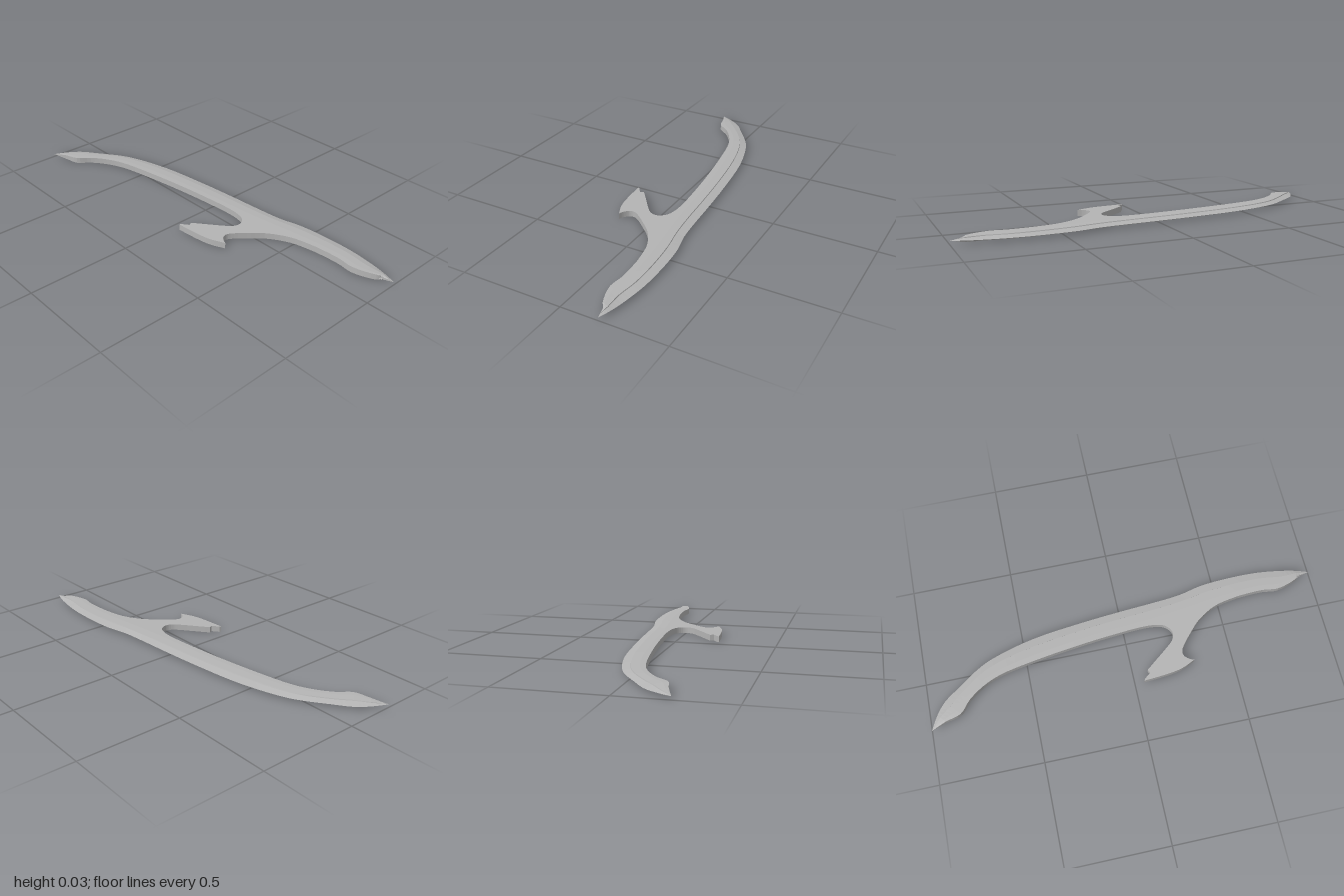
import * as THREE from 'three';

const MID = 0.015; // half of the plate thickness
const STEPS = 4;   // samples between two stations

// Stations from back tip to front tip: outer x, z, inner x, z, thickness factor
const stations = [
  [-0.24, -1, -0.235, -0.99, 0.1], [-0.17, -0.965, -0.21, -0.925, 0.75],
  [-0.11, -0.92, -0.188, -0.85, 1], [-0.05, -0.84, -0.13, -0.8, 1],
  [0.03, -0.725, -0.075, -0.725, 1], [0.068, -0.64, -0.035, -0.635, 1],
  [0.12, -0.45, 0.003, -0.45, 1], [0.155, -0.185, 0.04, -0.185, 1],
  [0.174, 0.03, 0.06, 0.03, 1], [0.183, 0.16, 0.07, 0.16, 1],
  [0.198, 0.32, 0.09, 0.32, 1], [0.225, 0.44, 0.105, 0.45, 1],
  [0.237, 0.61, 0.124, 0.61, 1], [0.235, 0.74, 0.13, 0.74, 1],
  [0.22, 0.86, 0.122, 0.82, 1], [0.203, 0.94, 0.156, 0.925, 0.9],
  [0.183, 1, 0.17, 0.94, 0.3],
];

// Half section from inner wall to cutting edge: fraction across, half height
const half = [[0, 0.015], [0.25, 0.015], [0.63, 0.0125], [0.645, 0.0085], [1, 0]];
const section = [...half, ...half.slice(0, -1).reverse().map(([f, h]) => [f, -h])];

function sample(points, n) {
  return new THREE.CatmullRomCurve3(points).getPoints(n);
}

function createBlade(outer, inner, thick) {
  const rings = outer.map((o, i) => section.map(([f, h]) => {
    const p = inner[i].clone().lerp(o, f);
    p.y = MID + h * thick[i].y;
    return p;
  }));
  const pos = [];
  const tri = (...corners) => corners.forEach((p) => pos.push(p.x, p.y, p.z));
  const count = section.length;
  for (let i = 0; i < rings.length - 1; i++) {
    for (let j = 0; j < count; j++) {
      const k = (j + 1) % count;
      tri(rings[i][j], rings[i + 1][j], rings[i][k]);
      tri(rings[i][k], rings[i + 1][j], rings[i + 1][k]);
    }
  }
  // End caps
  const first = rings[0], last = rings[rings.length - 1];
  for (let j = 0; j < count; j++) {
    const k = (j + 1) % count;
    const centre = (r) => r[0].clone().lerp(r[4], 0.4).setY(MID);
    tri(centre(first), first[j], first[k]);
    tri(centre(last), last[k], last[j]);
  }
  const geometry = new THREE.BufferGeometry();
  geometry.setAttribute('position', new THREE.Float32BufferAttribute(pos, 3));
  geometry.computeVertexNormals();
  return geometry;
}

function createArm(root) {
  const curve = (pts) => new THREE.SplineCurve(pts.map(([x, z]) => new THREE.Vector2(x, z))).getPoints(pts.length * 4);
  // Front curve, barbed tip, then the rear curve back to the blade
  const front = curve([[0.124, 0.61], [0.1, 0.49], [0.045, 0.39], [-0.025, 0.32],
    [-0.09, 0.268], [-0.125, 0.264], [-0.148, 0.285], [-0.16, 0.31]]);
  const tip = curve([[-0.16, 0.31], [-0.19, 0.24], [-0.204, 0.16], [-0.213, 0.048]]);
  const notch = [[-0.205, 0.05], [-0.18, 0.083], [-0.162, 0.075]].map(([x, z]) => new THREE.Vector2(x, z));
  const rear = curve([[-0.155, 0.084], [-0.13, 0.115], [-0.075, 0.185], [-0.035, 0.228],
    [0.008, 0.238], [0.045, 0.21], [0.06, 0.16], [0.063, 0.1], [0.06, 0.03]]);
  const seam = root.slice(1, -1).map((p) => new THREE.Vector2(p.x, p.z));
  const shape = new THREE.Shape([...front, ...tip.slice(1), ...notch, ...rear, ...seam]);
  const geometry = new THREE.ExtrudeGeometry(shape, { depth: 2 * MID, bevelEnabled: false });
  return geometry.rotateX(Math.PI / 2).translate(0, 2 * MID, 0);
}

export function createModel() {
  const group = new THREE.Group();
  const metal = new THREE.MeshStandardMaterial({ color: 0xb4b4b4 });
  metal.name = 'grey metal';

  const n = (stations.length - 1) * STEPS;
  const outer = sample(stations.map((s) => new THREE.Vector3(s[0], 0, s[1])), n);
  const inner = sample(stations.map((s) => new THREE.Vector3(s[2], 0, s[3])), n);
  const thick = sample(stations.map((s) => new THREE.Vector3(0, s[4], 0)), n);
  thick.forEach((t) => { t.y = Math.min(t.y, 1); });

  const blade = new THREE.Mesh(createBlade(outer, inner, thick), metal);
  blade.name = 'curvedBlade';
  // The arm meets the blade along its inner wall
  const arm = new THREE.Mesh(createArm(inner.slice(8 * STEPS, 12 * STEPS + 1)), metal);
  arm.name = 'sideArm';
  group.add(blade, arm);
  return group;
}
